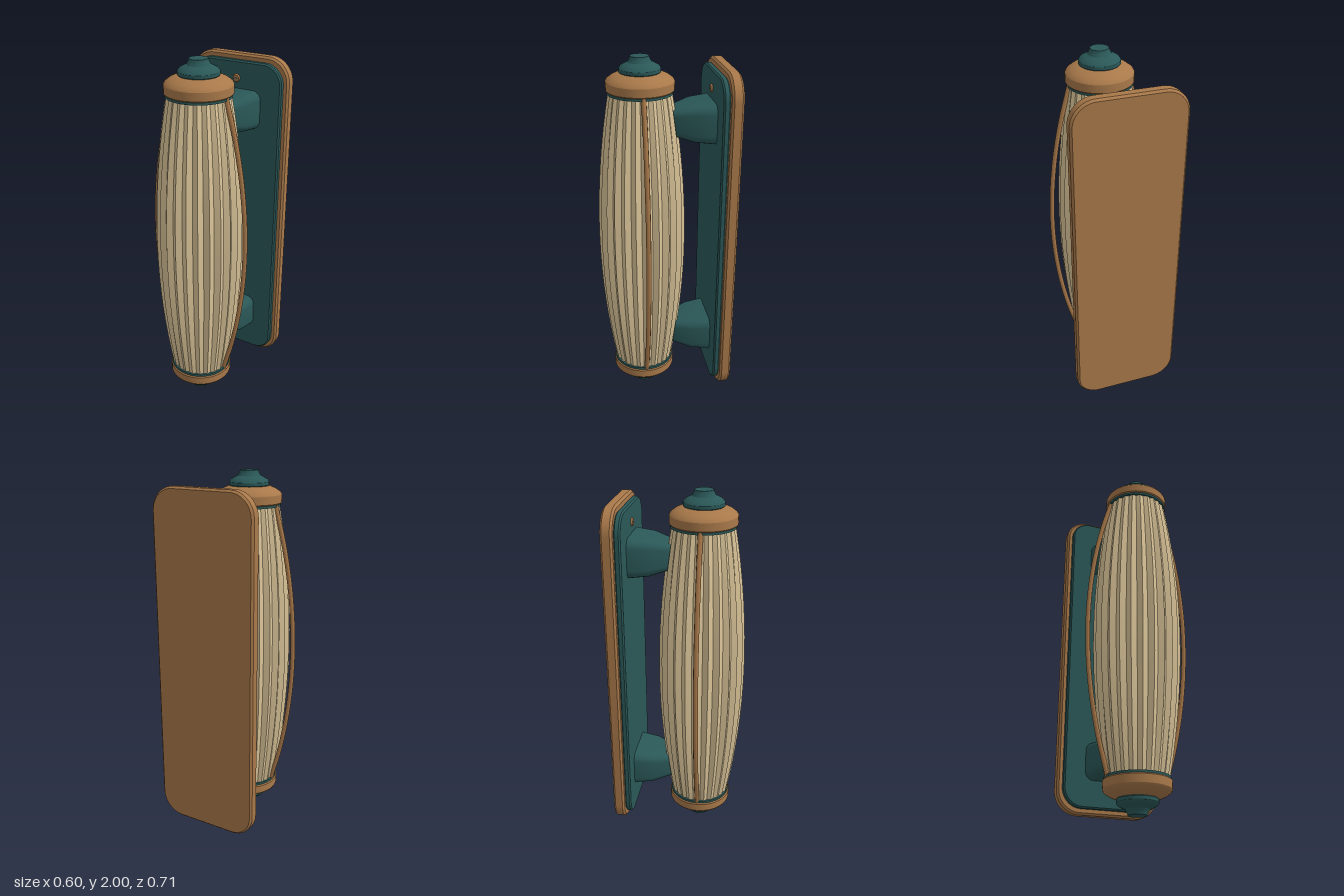
import * as THREE from 'three';
import { toCreasedNormals } from 'three/addons/utils/BufferGeometryUtils.js';

const AXIS_Z = 0.117; // vertical axis of the lamp body

function material(name, color, extra = {}) {
  const m = new THREE.MeshStandardMaterial({ color, ...extra });
  m.name = name;
  return m;
}

function roundedRect(w, h, r) {
  const s = new THREE.Shape();
  const x = w / 2, y = h / 2;
  s.moveTo(-x + r, -y);
  s.lineTo(x - r, -y);
  s.absarc(x - r, -y + r, r, -Math.PI / 2, 0);
  s.lineTo(x, y - r);
  s.absarc(x - r, y - r, r, 0, Math.PI / 2);
  s.lineTo(-x + r, y);
  s.absarc(-x + r, y - r, r, Math.PI / 2, Math.PI);
  s.lineTo(-x, -y + r);
  s.absarc(-x + r, -y + r, r, Math.PI, Math.PI * 1.5);
  return s;
}

// Rounded plate with chamfered rims, spanning z0 to z1
function plate(w, h, r, z0, z1, bevel) {
  const g = new THREE.ExtrudeGeometry(roundedRect(w - 2 * bevel, h - 2 * bevel, r - bevel), {
    depth: z1 - z0 - 2 * bevel, bevelEnabled: true, bevelSize: bevel,
    bevelThickness: bevel, bevelSegments: 1, curveSegments: 8,
  });
  g.translate(0, 1.005, z0 + bevel);
  return toCreasedNormals(g, 0.5);
}

function lathe(points, segments = 48) {
  const g = new THREE.LatheGeometry(points.map(([r, y]) => new THREE.Vector2(r, y)), segments);
  return toCreasedNormals(g, 0.5);
}

// Loft of rounded rectangles [z, halfWidth, halfHeight] towards +z
function arm(sections) {
  const n = 24, pos = [], idx = [];
  for (const [z, hw, hh] of sections) {
    const r = Math.min(hw, hh) * 0.45;
    for (let i = 0; i < n; i++) {
      const q = Math.floor(i / 6);
      const a = (q + (i % 6) / 5) * Math.PI / 2;
      const sx = q === 0 || q === 3 ? 1 : -1, sy = q < 2 ? 1 : -1;
      pos.push(sx * (hw - r) + r * Math.cos(a), sy * (hh - r) + r * Math.sin(a), z);
    }
  }
  for (let k = 0; k < sections.length - 1; k++) {
    for (let i = 0; i < n; i++) {
      const a = k * n + i, b = k * n + (i + 1) % n;
      idx.push(a, b, b + n, a, b + n, a + n);
    }
  }
  const last = (sections.length - 1) * n;
  for (let i = 1; i < n - 1; i++) idx.push(last, last + i, last + i + 1);
  const g = new THREE.BufferGeometry();
  g.setAttribute('position', new THREE.Float32BufferAttribute(pos, 3));
  g.setIndex(idx);
  return toCreasedNormals(g, 0.5);
}

// Barrel shade with 24 sharp vertical pleats
function pleatedShade() {
  const pleats = 24, rings = 16, y0 = 0.175, y1 = 1.825;
  const profile = [];
  for (let i = 0; i <= rings; i++) {
    const t = (i / rings) * 2 - 1;
    profile.push(new THREE.Vector2(0.165 + 0.075 * (1 - t * t), y0 + (y1 - y0) * i / rings));
  }
  const g = new THREE.LatheGeometry(profile, pleats * 2);
  const p = g.attributes.position;
  for (let i = 0; i < p.count; i++) {
    const column = Math.floor(i / (rings + 1));
    if (column % 2 === 0) continue;
    const t = ((i % (rings + 1)) / rings) * 2 - 1;
    const r = Math.hypot(p.getX(i), p.getZ(i));
    const k = 1 - (0.009 + 0.012 * (1 - t * t)) / r;
    p.setXYZ(i, p.getX(i) * k, p.getY(i), p.getZ(i) * k);
  }
  return toCreasedNormals(g, 0.2);
}

export function createModel() {
  const wood = material('wood', 0xa9794a);
  const teal = material('tealMetal', 0x2b5858);
  const cream = material('creamShade', 0xdac498, { side: THREE.DoubleSide });

  const model = new THREE.Group();
  model.name = 'wallLamp';
  const add = (name, geometry, mat, parent = model) => {
    const mesh = new THREE.Mesh(geometry, mat);
    mesh.name = name;
    parent.add(mesh);
    return mesh;
  };

  // Wall mount
  add('backBoard', plate(0.594, 1.88, 0.13, -0.357, -0.294, 0.011), wood);
  add('mountPlate', plate(0.54, 1.82, 0.11, -0.296, -0.26, 0.008), teal);

  // Arms and screws, upper and lower
  const armGeometry = arm([
    [-0.262, 0.15, 0.107], [-0.155, 0.133, 0.096], [-0.045, 0.078, 0.068],
  ]);
  const screwGeometry = new THREE.CylinderGeometry(0.018, 0.023, 0.01, 16).rotateX(Math.PI / 2);
  for (const [label, armY, screwY] of [['upper', 1.657, 1.82], ['lower', 0.354, 0.19]]) {
    add(label + 'Arm', armGeometry, teal).position.y = armY;
    add(label + 'Screw', screwGeometry, wood).position.set(0, screwY, -0.256);
    add(label + 'ScrewSlot', new THREE.BoxGeometry(0.024, 0.005, 0.002), teal)
      .position.set(0, screwY, -0.2505);
  }

  // Lamp body around its own axis
  const body = new THREE.Group();
  body.name = 'lampBody';
  body.position.z = AXIS_Z;
  model.add(body);
  add('shade', pleatedShade(), cream, body);

  // End pieces, the lower one turned upside down
  const ring = lathe([[0, 0.812], [0.172, 0.812], [0.172, 0.826], [0, 0.826]]);
  const cap = lathe([
    [0, 0.823], [0.17, 0.823], [0.178, 0.831], [0.178, 0.874],
    [0.172, 0.884], [0.15, 0.9], [0.11, 0.918], [0, 0.918],
  ]);
  const finial = lathe([
    [0.1, 0.912], [0.108, 0.922], [0.108, 0.938], [0.1, 0.95], [0.08, 0.961],
    [0.062, 0.97], [0.055, 0.982], [0.05, 0.993], [0.049, 1], [0, 1],
  ]);
  for (const [label, turn] of [['upper', 0], ['lower', Math.PI]]) {
    const end = new THREE.Group();
    end.name = label + 'End';
    end.position.y = 1;
    end.rotation.x = turn;
    body.add(end);
    add(label + 'Ring', ring, teal, end);
    add(label + 'Cap', cap, wood, end);
    add(label + 'Finial', finial, teal, end);
  }

  // Bowed side ribs
  for (const [label, side] of [['left', 1], ['right', -1]]) {
    const points = [];
    for (let i = 0; i <= 8; i++) {
      const t = i / 4 - 1;
      points.push(new THREE.Vector3(side * (0.16 + 0.127 * (1 - t * t)), 1 + 0.825 * t, 0.003));
    }
    const path = new THREE.CatmullRomCurve3(points);
    add(label + 'Rib', new THREE.TubeGeometry(path, 32, 0.0135, 8), wood, body);
  }

  return model;
}
